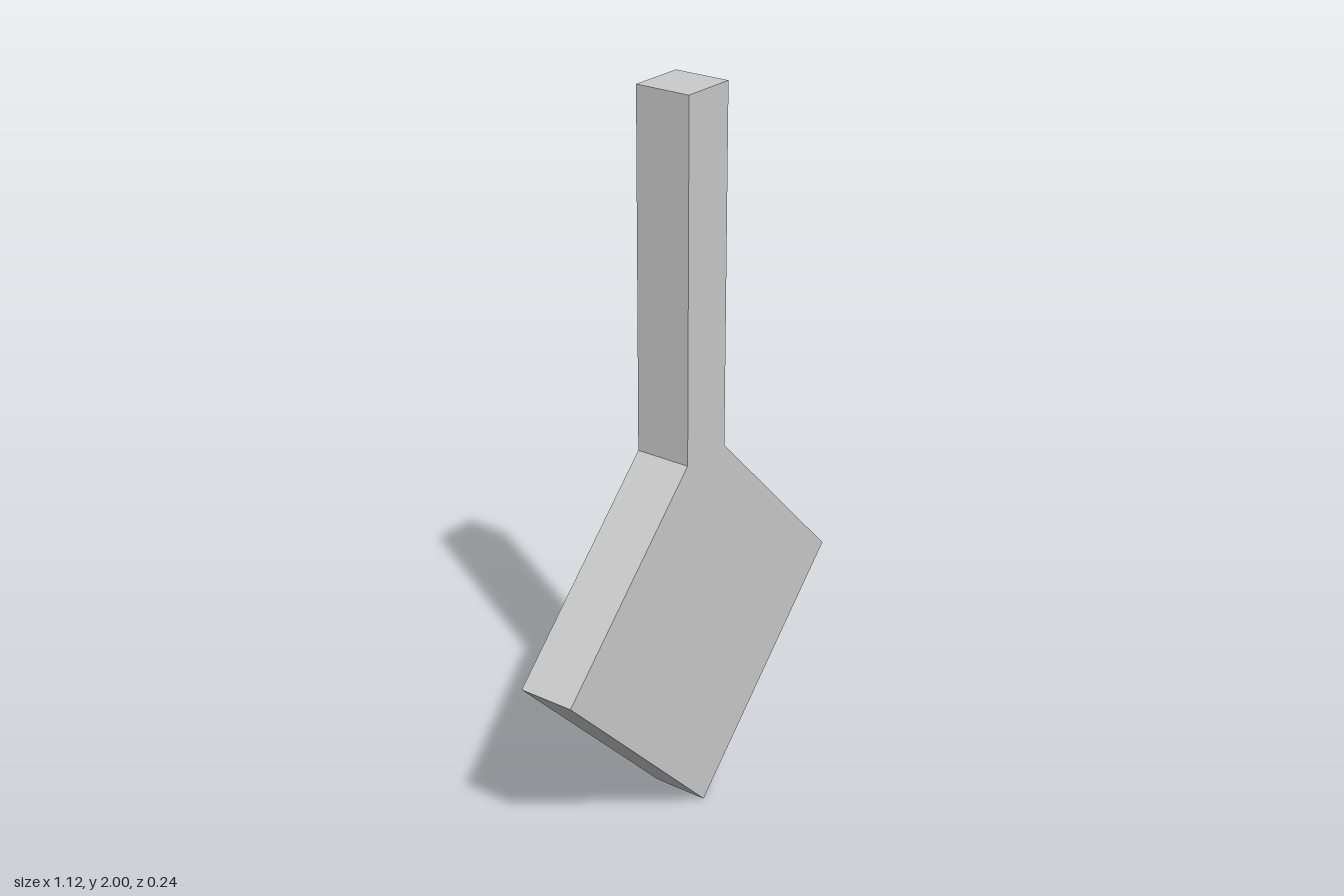
import * as THREE from 'three';

const material = new THREE.MeshStandardMaterial({ color: 0xcccccc, flatShading: true });

// Extrudes a front outline from zBack to zFront
function slab(name, points, zBack, zFront) {
  const shape = new THREE.Shape(points.map(([x, y]) => new THREE.Vector2(x, y)));
  const geometry = new THREE.ExtrudeGeometry(shape, { depth: zFront - zBack, bevelEnabled: false });
  geometry.translate(0, 0, zBack);
  const mesh = new THREE.Mesh(geometry, material);
  mesh.name = name;
  return mesh;
}

export function createModel() {
  const group = new THREE.Group();
  group.name = 'paddle';

  const centreY = 0.559; // middle of the diamond
  const r = 0.559; // half diagonal of the blade
  const w = 0.079; // half width of the handle
  const p = 0.336; // half diagonal of the back plate
  const neckY = centreY + r - w; // where the handle leaves the blade

  // Diamond blade and straight handle share one outline
  group.add(slab('bladeAndHandle', [
    [0, 0], [r, centreY], [w, neckY], [w, 2], [-w, 2], [-w, neckY], [-r, centreY],
  ], -0.039, 0.118));

  // Smaller raised diamond on the back
  group.add(slab('backPlate', [
    [0, centreY - p], [p, centreY], [0, centreY + p], [-p, centreY],
  ], -0.118, -0.039));

  return group;
}
